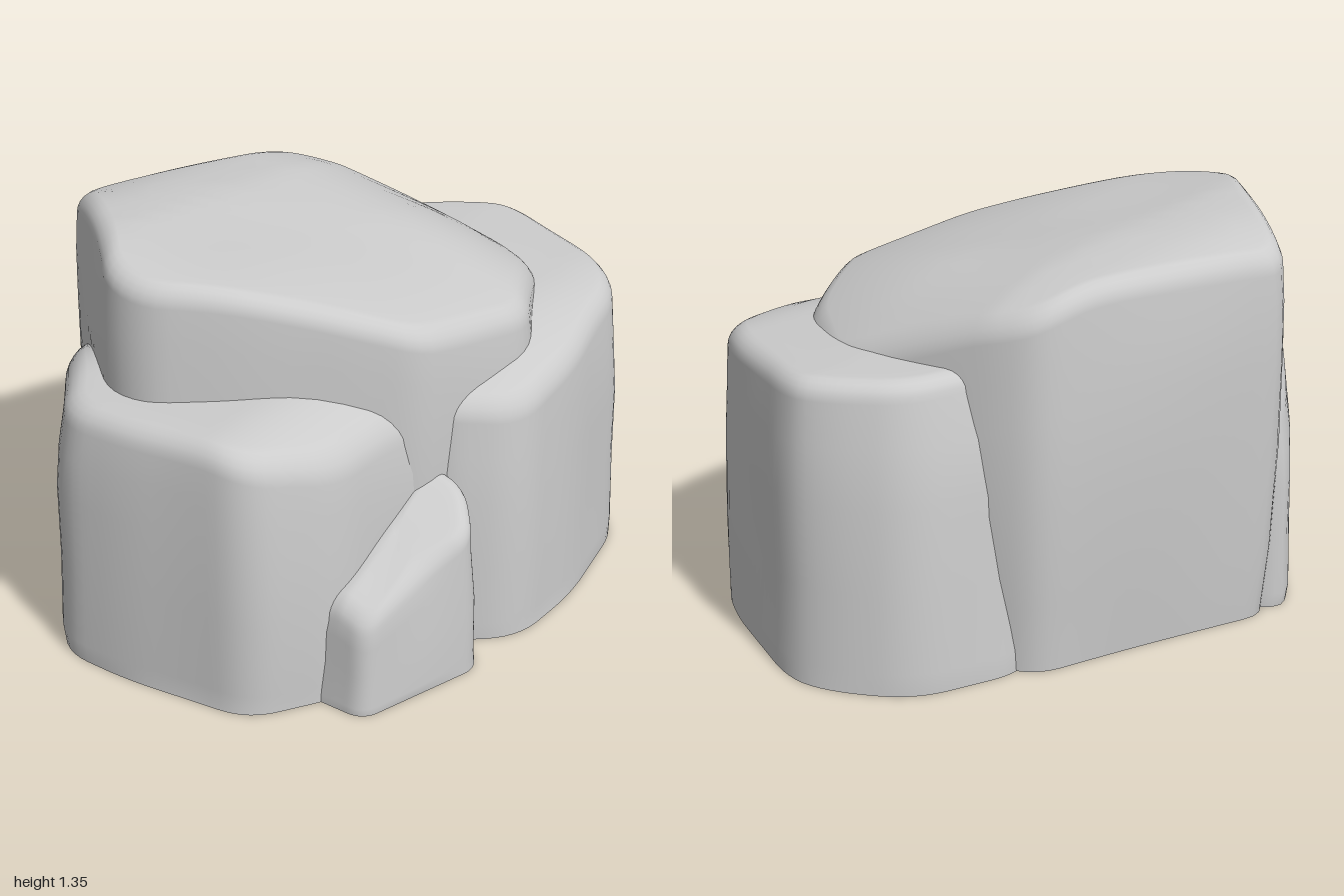
import * as THREE from 'three';

const SEGMENTS = 112;
const pos = (v) => Math.max(0, v);

// Evenly spaced outline of a polygon whose corners are rounded off
function roundedOutline(corners, round) {
  const pts = corners.map(([x, z]) => new THREE.Vector2(x, z));
  const shape = new THREE.Shape();
  pts.forEach((p, i) => {
    const prev = pts[(i + pts.length - 1) % pts.length];
    const next = pts[(i + 1) % pts.length];
    const a = p.clone().lerp(prev, Math.min(0.5, round / p.distanceTo(prev)));
    const b = p.clone().lerp(next, Math.min(0.5, round / p.distanceTo(next)));
    if (i === 0) shape.moveTo(a.x, a.y);
    else shape.lineTo(a.x, a.y);
    shape.quadraticCurveTo(p.x, p.y, b.x, b.y);
  });
  shape.closePath();
  return shape.getSpacedPoints(SEGMENTS).slice(0, SEGMENTS);
}

// One boulder: outline raised through wall, bevel and cap rings to a sloping top.
// wall = [fraction of height, inset] pairs; top = height at (x, z);
// backTilt makes the rear walls lean in more
function boulder({ name, corners, round, bevel, wall, top, seed, backTilt = 0 }) {
  const outline = roundedOutline(corners, round);
  const centre = outline.reduce((c, p) => c.add(p), new THREE.Vector2()).divideScalar(SEGMENTS);
  const verts = [], index = [];

  const addRing = (place) => {
    for (const p of outline) verts.push(...place(p));
  };
  const inward = (p, d) => {
    const dir = centre.clone().sub(p);
    return p.clone().addScaledVector(dir.normalize(), d);
  };
  const lean = (p, inset) => inset * (1 + backTilt * pos(-p.y));
  // Gentle worn unevenness
  const lump = (p, y) => 0.008 * Math.sin(7 * p.x + 5 * y + seed) * Math.sin(6 * p.y - 4 * y + seed * 2);

  // Flat underside has its own ring for a crisp foot
  addRing((p) => { const q = inward(p, lean(p, wall[0][1])); return [q.x, 0, q.y]; });

  for (const [t, inset] of wall) {
    addRing((p) => {
      const q = inward(p, lean(p, inset) + (t > 0 ? lump(p, t) : 0));
      return [q.x, t * (top(q.x, q.y) - bevel), q.y];
    });
  }
  const lastInset = wall[wall.length - 1][1];
  for (let k = 1; k <= 5; k++) {
    const a = (k / 5) * Math.PI / 2;
    addRing((p) => {
      const q = inward(p, lean(p, lastInset) + bevel * (1 - Math.cos(a)) + lump(p, 1));
      return [q.x, top(q.x, q.y) - bevel * (1 - Math.sin(a)), q.y];
    });
  }
  for (let k = 1; k <= 7; k++) {
    addRing((p) => {
      const q = inward(p, lean(p, lastInset) + bevel + lump(p, 1)).lerp(centre, k / 8);
      return [q.x, top(q.x, q.y) + lump(q, 2) * (k / 8), q.y];
    });
  }

  const rings = verts.length / 3 / SEGMENTS;
  const topCentre = rings * SEGMENTS, baseCentre = topCentre + 1;
  verts.push(centre.x, top(centre.x, centre.y) + lump(centre, 2), centre.y, centre.x, 0, centre.y);
  for (let i = 0; i < SEGMENTS; i++) {
    const j = (i + 1) % SEGMENTS;
    index.push(baseCentre, j, i);
    for (let r = 1; r < rings - 1; r++) {
      const a = r * SEGMENTS, b = a + SEGMENTS;
      index.push(a + i, a + j, b + j, a + i, b + j, b + i);
    }
    const e = (rings - 1) * SEGMENTS;
    index.push(e + i, e + j, topCentre);
  }

  const geo = new THREE.BufferGeometry();
  geo.setAttribute('position', new THREE.Float32BufferAttribute(verts, 3));
  geo.setIndex(index);
  geo.computeVertexNormals();
  const mesh = new THREE.Mesh(geo, new THREE.MeshStandardMaterial({ color: 0xcccccc }));
  mesh.name = name;
  return mesh;
}

export function createModel() {
  const group = new THREE.Group();
  group.name = 'rockCluster';

  // Tall central rock, sloping down to the front and to +x
  group.add(boulder({
    name: 'centralRock', seed: 1, round: 0.08, bevel: 0.065,
    corners: [[-0.28, 0.57], [0.2, 0.66], [0.58, 0.42], [0.75, 0.16], [0.53, -0.43],
      [0.46, -0.54], [-0.39, -0.81], [-0.84, -0.23], [-0.84, -0.08], [-0.44, 0.41]],
    wall: [[0, 0.04], [0.2, 0.02], [0.5, 0], [0.75, 0], [0.9, 0.008], [1, 0.018]],
    top: (x, z) => Math.min(1.35 - 0.08 * pos(x + 0.6), 1.245 - 0.08 * x - 0.16 * z - 0.18 * pos(z) ** 2)
      - 0.75 * pos(x - 0.2) ** 2 - 0.8 * pos(-z - 0.5) ** 2 - 0.6 * pos(-x - 0.6) ** 2,
  }));

  // Broad rock wrapping the front and the +x side
  group.add(boulder({
    name: 'frontRock', seed: 3, round: 0.12, bevel: 0.065, backTilt: 4,
    corners: [[-0.24, 0.56], [-0.03, 0.79], [0.3, 0.78], [0.74, 0.67], [0.85, 0.5],
      [1.01, 0.04], [0.97, -0.12], [0.82, -0.34], [0.45, -0.47], [0, -0.1], [-0.2, 0.3]],
    wall: [[0, 0], [0.08, 0], [0.35, 0.008], [0.65, 0.016], [0.85, 0.025], [1, 0.038]],
    top: (x, z) => 1.015 - 0.21 * pos(0.6 - x) ** 2 - 0.04 * pos(z) - 0.9 * pos(z - 0.45) ** 2,
  }));

  // Lower rock on the -x side, falling away to the back, the front and into the front rock
  group.add(boulder({
    name: 'sideRock', seed: 5, round: 0.1, bevel: 0.075,
    corners: [[-0.92, 0.39], [-0.64, 0.55], [-0.2, 0.565], [-0.02, 0.6], [-0.05, 0.2], [-0.25, -0.5],
      [-0.42, -0.77], [-0.5, -0.77], [-1.01, -0.31], [-1, -0.05]],
    wall: [[0, 0], [0.08, 0], [0.4, 0.002], [0.7, 0.01], [0.88, 0.02], [1, 0.035]],
    top: (x, z) => 0.98 + 0.08 * x - 1.5 * pos(-z - 0.35) ** 2
      - 1.1 * pos(z - 0.2) ** 2 - 0.1 * pos(x + 0.4),
  }));

  // Small wedge leaning against the front
  group.add(boulder({
    name: 'smallRock', seed: 8, round: 0.06, bevel: 0.05,
    corners: [[-0.7, 0.67], [-0.25, 0.785], [-0.15, 0.67], [-0.17, 0.45], [-0.71, 0.45]],
    wall: [[0, 0], [0.1, 0], [0.5, 0.008], [0.85, 0.015], [1, 0.02]],
    top: (x, z) => 0.36 + 0.58 * (x + 0.68) - 0.4 * pos(z - 0.56),
  }));

  return group;
}
